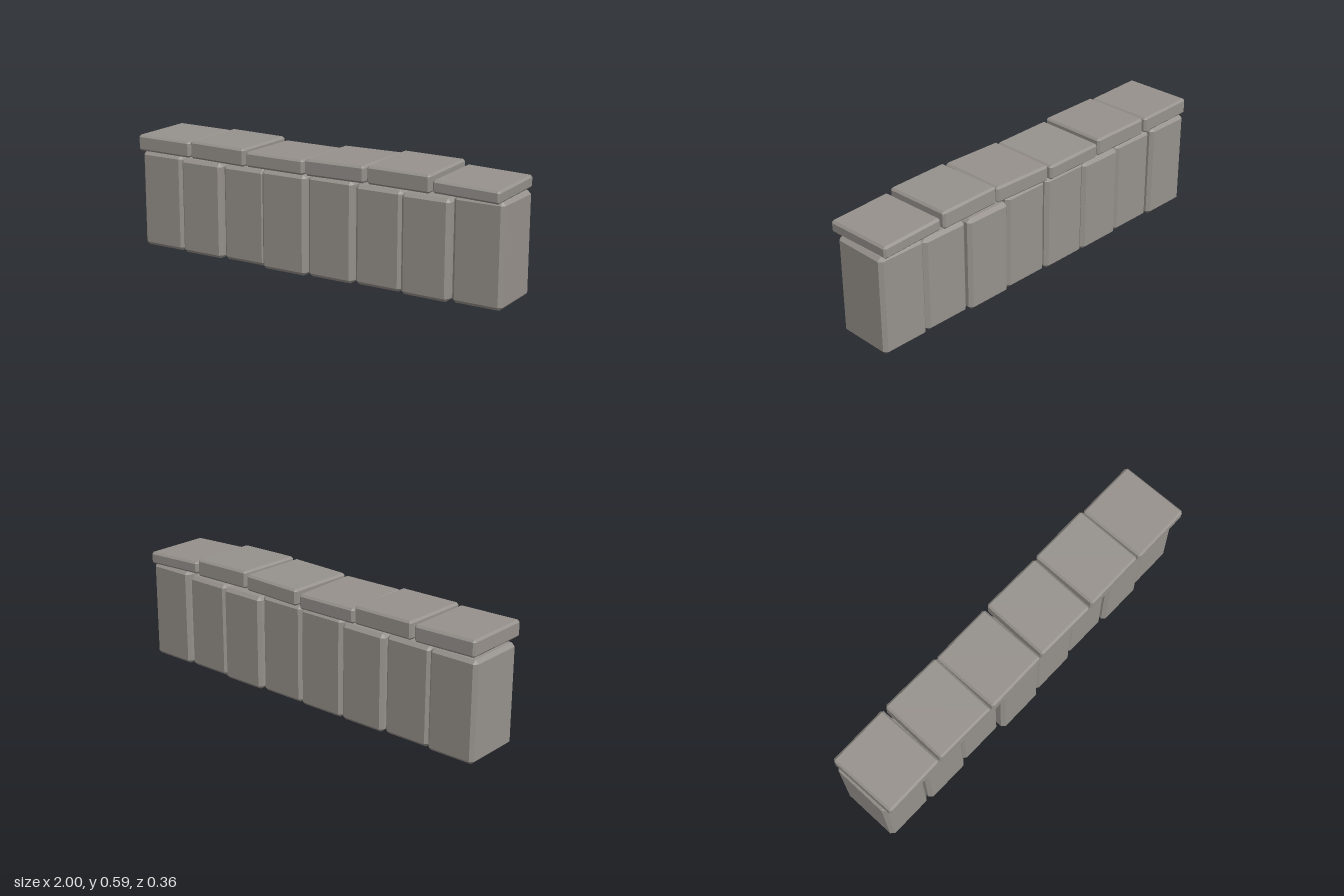
import * as THREE from 'three';
import { ConvexGeometry } from 'three/addons/geometries/ConvexGeometry.js';

const stone = new THREE.MeshStandardMaterial({ color: 0x96918c });
stone.name = 'warm grey stone';

// Box with chamfered edges and corners, centred on its origin
function chamferedBox(w, h, d, c) {
  const points = [];
  for (const x of [-1, 1]) for (const y of [-1, 1]) for (const z of [-1, 1]) {
    for (const axis of [0, 1, 2]) {
      const half = [w / 2 - c, h / 2 - c, d / 2 - c];
      half[axis] += c;
      points.push(new THREE.Vector3(x * half[0], y * half[1], z * half[2]));
    }
  }
  return new ConvexGeometry(points);
}

function addStone(group, name, size, chamfer, position, rotation = [0, 0, 0]) {
  const mesh = new THREE.Mesh(chamferedBox(...size, chamfer), stone);
  mesh.name = name;
  mesh.position.set(...position);
  mesh.rotation.set(...rotation);
  group.add(mesh);
}

export function createModel() {
  const model = new THREE.Group();
  model.name = 'stoneWall';

  // Upright blocks: left edge, right edge, top, back, front
  const blocks = [
    [-1.0, -0.752, 0.487, -0.165, 0.140],
    [-0.748, -0.504, 0.480, -0.152, 0.150],
    [-0.500, -0.256, 0.477, -0.163, 0.135],
    [-0.254, -0.003, 0.490, -0.160, 0.165],
    [0.0, 0.247, 0.490, -0.153, 0.150],
    [0.251, 0.496, 0.477, -0.165, 0.135],
    [0.500, 0.746, 0.477, -0.150, 0.150],
    [0.752, 1.0, 0.493, -0.157, 0.131],
  ];
  blocks.forEach(([x0, x1, top, z0, z1], i) => addStone(
    model, `wallBlock${i + 1}`, [x1 - x0, top, z1 - z0], 0.017,
    [(x0 + x1) / 2, top / 2, (z0 + z1) / 2]));

  // Capping slabs: left edge, right edge, bottom, top, pitch, yaw, roll
  const caps = [
    [-0.992, -0.676, 0.498, 0.578, 0.01, 0.015, -0.012],
    [-0.664, -0.342, 0.495, 0.582, 0.01, -0.012, -0.012],
    [-0.333, -0.010, 0.492, 0.565, -0.01, 0.01, -0.006],
    [0.004, 0.326, 0.497, 0.577, 0.01, -0.015, 0.014],
    [0.336, 0.657, 0.500, 0.586, 0.025, 0.01, -0.012],
    [0.670, 0.993, 0.499, 0.559, 0.015, 0.018, -0.035],
  ];
  caps.forEach(([x0, x1, y0, y1, pitch, yaw, roll], i) => addStone(
    model, `capSlab${i + 1}`, [x1 - x0, y1 - y0, 0.352], 0.01,
    [(x0 + x1) / 2, (y0 + y1) / 2, 0], [pitch, yaw, roll]));

  return model;
}
